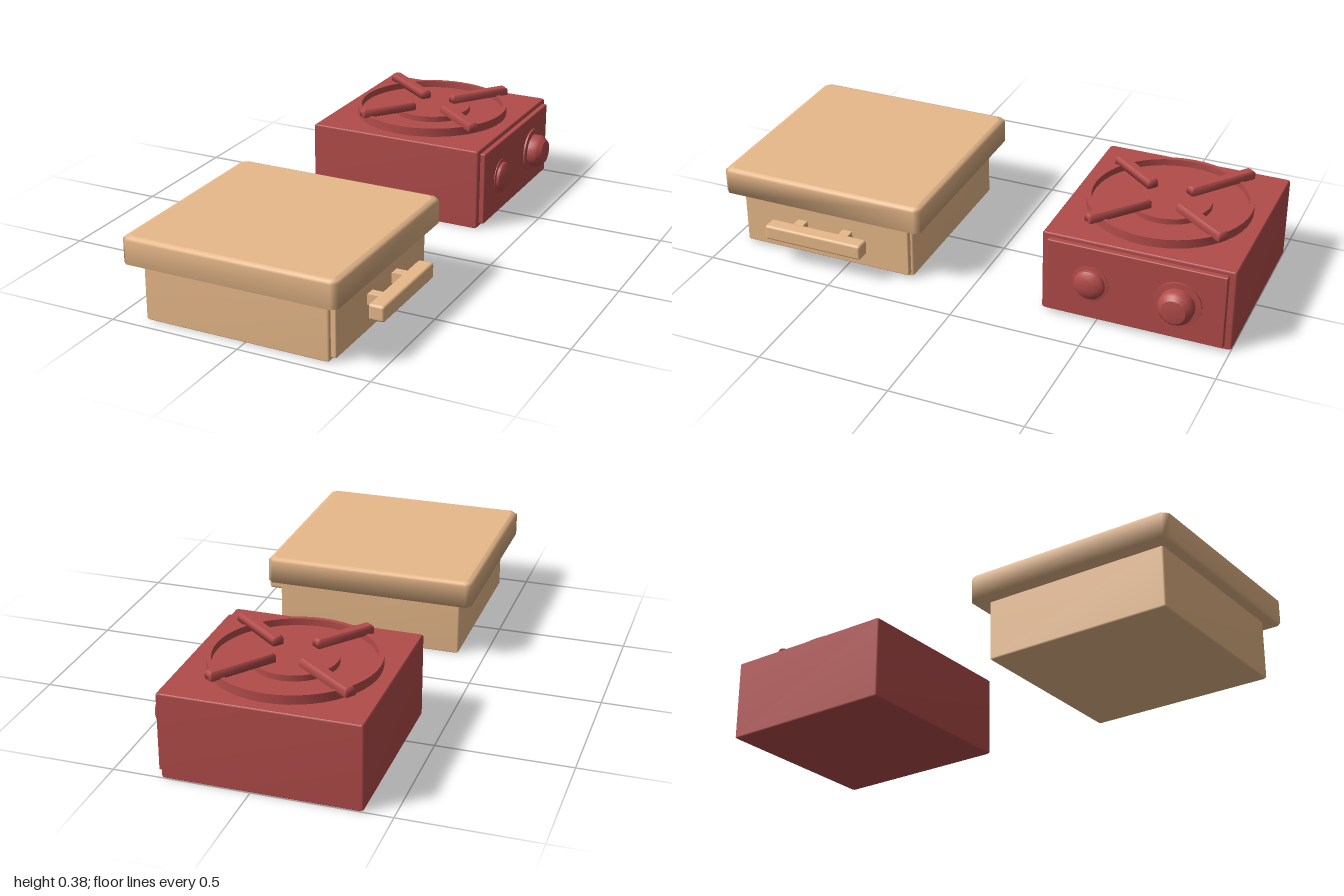
import * as THREE from 'three';
import { toCreasedNormals } from 'three/addons/utils/BufferGeometryUtils.js';
import { RoundedBoxGeometry } from 'three/addons/geometries/RoundedBoxGeometry.js';

const tan = new THREE.MeshStandardMaterial({ color: 0xe8b98a });
const red = new THREE.MeshStandardMaterial({ color: 0xb24c4a });

// Box with clipped vertical corners, lofted through rings of [y, inset].
// The underside shares its vertices with the walls for a soft lower edge.
function loftBox(w, d, corner, rings) {
  const pos = [], idx = [];
  const addRing = ([y, inset]) => {
    const x = w / 2 - inset, z = d / 2 - inset, c = corner;
    for (const [px, pz] of [[x, z - c], [x - c, z], [c - x, z], [-x, z - c],
      [-x, c - z], [c - x, -z], [x - c, -z], [x, c - z]]) pos.push(px, y, pz);
  };
  rings.forEach(addRing);
  for (let r = 0; r < rings.length - 1; r++) {
    for (let i = 0; i < 8; i++) {
      const a = r * 8 + i, b = r * 8 + (i + 1) % 8;
      idx.push(a, a + 8, b, b, a + 8, b + 8);
    }
  }
  const top = rings.length * 8;
  addRing(rings[rings.length - 1]);
  for (let i = 1; i < 7; i++) {
    idx.push(0, i, i + 1);
    idx.push(top, top + i + 1, top + i);
  }
  const g = new THREE.BufferGeometry();
  g.setAttribute('position', new THREE.Float32BufferAttribute(pos, 3));
  g.setIndex(idx);
  g.computeVertexNormals();
  return g;
}

function lathe(points, segments) {
  const g = new THREE.LatheGeometry(points.map(([r, y]) => new THREE.Vector2(r, y)), segments);
  return toCreasedNormals(g, 0.6);
}

function add(parent, name, geometry, material, x = 0, y = 0, z = 0) {
  const mesh = new THREE.Mesh(geometry, material);
  mesh.name = name;
  mesh.position.set(x, y, z);
  parent.add(mesh);
  return mesh;
}

function createCabinet() {
  const g = new THREE.Group();
  g.name = 'cabinet';
  g.position.set(-0.0375, 0, 0.59);
  add(g, 'cabinetBody', loftBox(0.715, 0.715, 0.006, [[0, 0.005], [0.005, 0], [0.23, 0]]), tan);
  add(g, 'countertop', loftBox(0.825, 0.82, 0.02,
    [[0.224, 0], [0.312, 0], [0.32, 0.007], [0.325, 0.02]]), tan);
  add(g, 'door', new RoundedBoxGeometry(0.03, 0.215, 0.69, 1, 0.004), tan, 0.3625, 0.12, -0.003);
  // Pull handle on two posts
  add(g, 'handleBar', new RoundedBoxGeometry(0.06, 0.06, 0.4, 2, 0.01), tan, 0.4525, 0.131, 0);
  for (const s of [-1, 1]) {
    add(g, 'handlePost', new THREE.BoxGeometry(0.06, 0.04, 0.04), tan, 0.4, 0.131, s * 0.095);
  }
  return g;
}

function createStove() {
  const g = new THREE.Group();
  g.name = 'stove';
  g.position.set(-0.0375, 0, -0.643);
  add(g, 'stoveBody', loftBox(0.715, 0.715, 0.006,
    [[0, 0.005], [0.005, 0], [0.315, 0], [0.32, 0.005]]), red);
  add(g, 'controlPanel', new RoundedBoxGeometry(0.03, 0.29, 0.665, 1, 0.004), red, 0.3625, 0.16, 0);

  // Raised rim, recessed pan and central burner in one profile
  add(g, 'burner', lathe([[0.305, 0.315], [0.305, 0.354], [0.288, 0.354], [0.288, 0.328],
    [0.155, 0.328], [0.155, 0.35], [0, 0.35]], 48), red);

  // Grate bars: inner and outer ends as x, z
  const bars = [
    [-0.05, -0.055, -0.275, -0.23], [0.06, -0.055, 0.215, -0.265],
    [0.08, 0.055, 0.28, 0.22], [-0.045, 0.08, -0.19, 0.265],
  ];
  for (const [x1, z1, x2, z2] of bars) {
    const len = Math.hypot(x2 - x1, z2 - z1);
    const bar = add(g, 'grateBar', loftBox(len, 0.044, 0.005,
      [[0.35, 0], [0.372, 0], [0.381, 0.008]]), red, (x1 + x2) / 2, 0, (z1 + z2) / 2);
    bar.rotation.y = -Math.atan2(z2 - z1, x2 - x1);
  }

  // Knobs turn about the x axis
  const small = lathe([[0.07, 0], [0.07, 0.006], [0.058, 0.008], [0.056, 0.018],
    [0.045, 0.027], [0.025, 0.033], [0, 0.035]], 24);
  const large = lathe([[0.088, 0], [0.088, 0.01], [0.066, 0.012], [0.066, 0.04],
    [0.059, 0.052], [0.046, 0.066], [0.025, 0.069], [0, 0.07]], 24);
  add(g, 'smallKnob', small, red, 0.3745, 0.16, 0.166).rotation.z = -Math.PI / 2;
  add(g, 'largeKnob', large, red, 0.3745, 0.16, -0.162).rotation.z = -Math.PI / 2;
  return g;
}

export function createModel() {
  const model = new THREE.Group();
  model.name = 'kitchenUnits';
  model.add(createCabinet(), createStove());
  return model;
}
